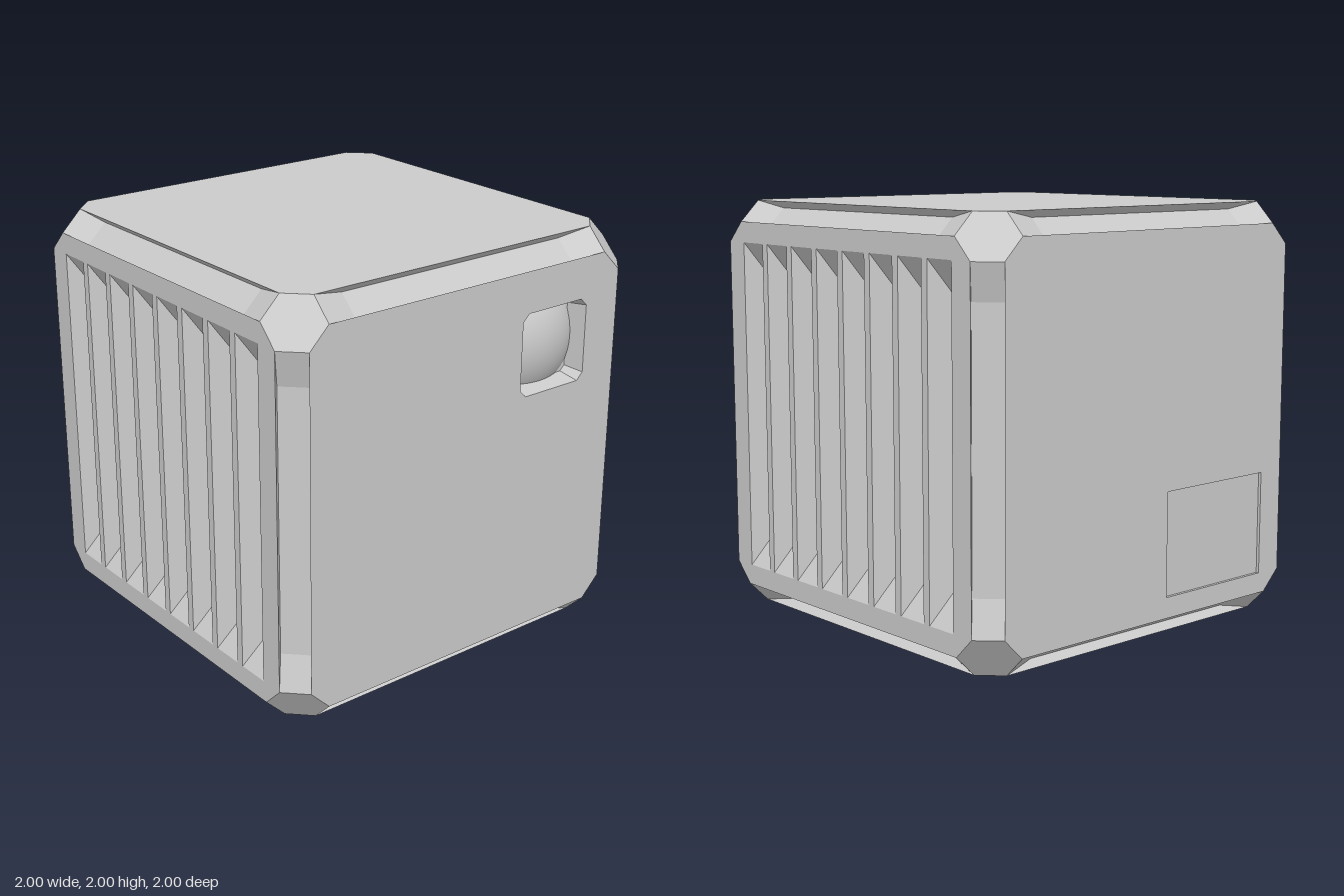
import * as THREE from 'three';

const material = new THREE.MeshStandardMaterial({ color: 0xcccccc, flatShading: true });
const smoothMaterial = new THREE.MeshStandardMaterial({ color: 0xcccccc });
const QUARTER = Math.PI / 2;

function addMesh(parent, name, geometry, mat = material) {
  const mesh = new THREE.Mesh(geometry, mat);
  mesh.name = name;
  parent.add(mesh);
  return mesh;
}

// Counter-clockwise rectangle, with its corners cut by c when given
function loop(w, h, c = 0, cx = 0, cy = 0) {
  const x = w / 2, y = h / 2;
  const points = c
    ? [[x - c, -y], [x, c - y], [x, y - c], [x - c, y], [c - x, y], [-x, y - c], [-x, c - y], [c - x, -y]]
    : [[-x, -y], [x, -y], [x, y], [-x, y]];
  return points.map(([px, py]) => new THREE.Vector2(px + cx, py + cy));
}

// Pocket sunk from an outer loop at height z to an inner loop at z - depth
function recess(outer, inner, z, depth) {
  const positions = [];
  const n = outer.length;
  const top = (i) => positions.push(outer[i % n].x, outer[i % n].y, z);
  const low = (i) => positions.push(inner[i % n].x, inner[i % n].y, z - depth);
  for (let i = 0; i < n; i++) {
    top(i); top(i + 1); low(i + 1);
    top(i); low(i + 1); low(i);
  }
  for (let i = 1; i < n - 1; i++) {
    low(0); low(i); low(i + 1);
  }
  const geometry = new THREE.BufferGeometry();
  geometry.setAttribute('position', new THREE.Float32BufferAttribute(positions, 3));
  geometry.computeVertexNormals();
  return geometry;
}

// Flat side panel with pockets: each is { name, outer, inner, depth }
function side(name, rotX, rotY, pockets = []) {
  const group = new THREE.Group();
  group.name = name;
  const shape = new THREE.Shape(loop(1.8, 1.8, 0.1));
  for (const p of pockets) {
    shape.holes.push(new THREE.Path(p.outer));
    addMesh(group, p.name, recess(p.outer, p.inner, 1, p.depth));
  }
  addMesh(group, name + 'Panel', new THREE.ShapeGeometry(shape)).position.z = 1;
  group.rotation.set(rotX, rotY, 0);
  return group;
}

export function createModel() {
  const model = new THREE.Group();
  const body = new THREE.Group();
  body.name = 'body';
  body.position.y = 1;
  model.add(body);

  // Eight tapered vent slots, on the front and the back
  const vents = [];
  for (let i = 0; i < 8; i++) {
    const x = -0.7 + i * 0.2;
    vents.push({
      name: 'ventSlot', depth: 0.1,
      outer: loop(0.16, 1.6, 0, x), inner: loop(0.04, 1.28, 0, x),
    });
  }
  body.add(side('front', 0, 0, vents), side('back', 0, Math.PI, vents));
  body.add(side('top', -QUARTER, 0), side('bottom', QUARTER, 0));

  // Left side: button well with a domed button
  const left = side('leftSide', 0, QUARTER, [{
    name: 'buttonWell', depth: 0.1,
    outer: loop(0.4, 0.4, 0.035, 0.5, 0.5), inner: loop(0.36, 0.36, 0.025, 0.5, 0.5),
  }]);
  const radius = 0.381;
  const dome = new THREE.SphereGeometry(radius, 32, 8, 0, Math.PI * 2, 0, 0.616);
  dome.rotateX(QUARTER);
  addMesh(left, 'button', dome, smoothMaterial).position.set(0.5, 0.5, 0.97 - radius);
  body.add(left);

  // Right side: shallow hatch
  const hatch = loop(0.66, 0.5, 0, 0.43, -0.55);
  body.add(side('rightSide', 0, -QUARTER, [
    { name: 'hatch', outer: hatch, inner: hatch, depth: 0.015 },
  ]));

  // Bevelled edges with a long groove, four around each axis
  const edge = recess(loop(1.6, 0.1 * Math.SQRT2), loop(1.26, 0.1 * Math.SQRT2), 0.95 * Math.SQRT2, 0.047);
  for (const [rotY, rotZ] of [[0, 0], [QUARTER, 0], [0, QUARTER]]) {
    const edges = new THREE.Group();
    edges.name = 'edges';
    edges.rotation.set(0, rotY, rotZ);
    for (let i = 0; i < 4; i++) {
      addMesh(edges, 'edge', edge).rotation.x = Math.PI / 4 + i * QUARTER;
    }
    body.add(edges);
  }

  // Six-sided corner caps
  const cap = new THREE.CircleGeometry(0.1 * Math.SQRT2, 6);
  for (const x of [-0.9, 0.9]) for (const y of [-0.9, 0.9]) for (const z of [-0.9, 0.9]) {
    const corner = new THREE.Mesh(cap, material);
    corner.name = 'cornerCap';
    corner.position.set(x, y, z);
    corner.lookAt(2 * x, 2 * y, 2 * z);
    body.add(corner);
  }
  return model;
}
